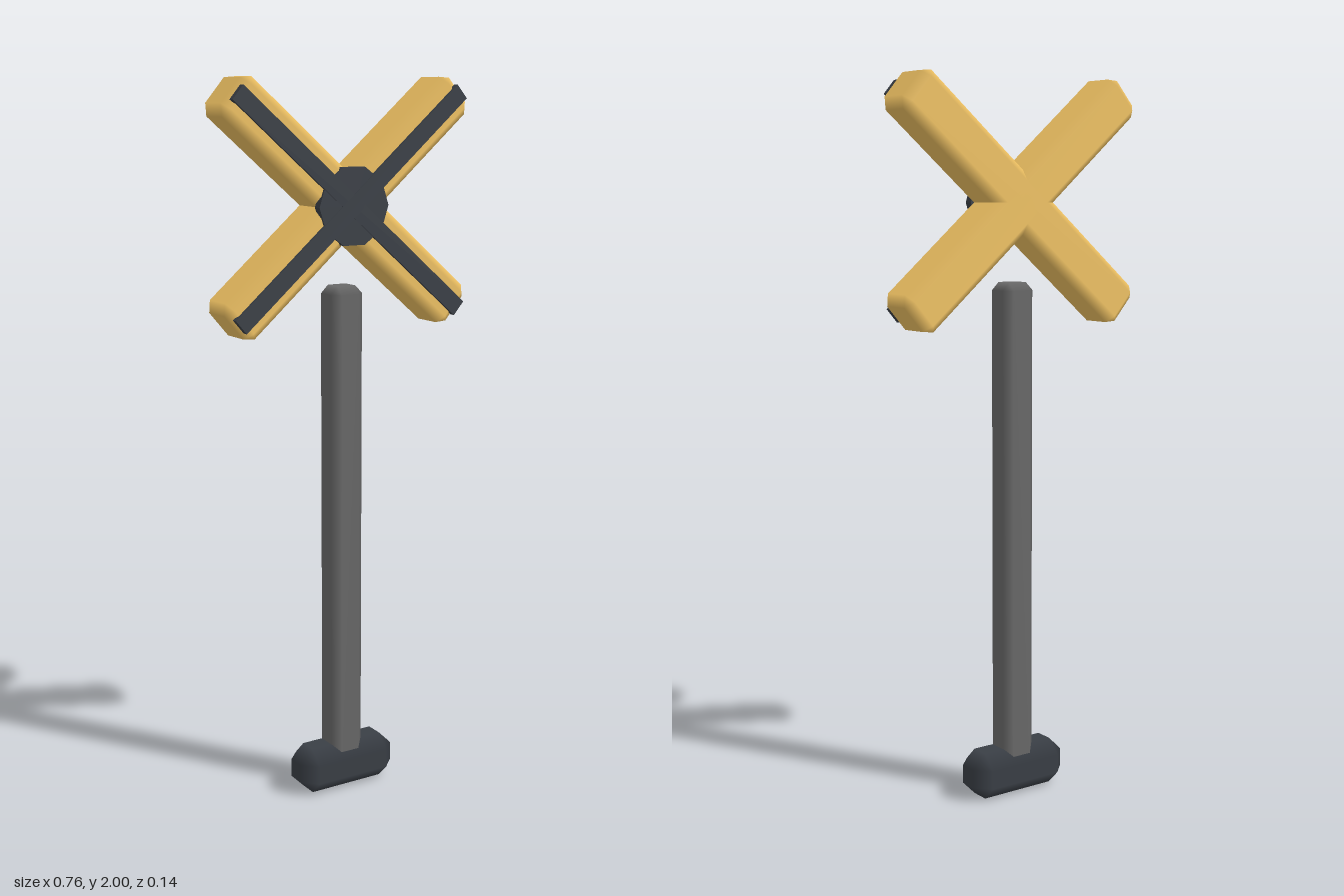
import * as THREE from 'three';
import { ConvexGeometry } from 'three/addons/geometries/ConvexGeometry.js';

// Box with one-step bevels of size r; faces stay flat, bevels shade smoothly.
function bevelBox(w, h, d, r) {
  const half = [w / 2, h / 2, d / 2];
  const points = [];
  for (const sx of [-1, 1]) for (const sy of [-1, 1]) for (const sz of [-1, 1]) {
    for (let axis = 0; axis < 3; axis++) {
      const p = half.map((v, i) => (i === axis ? v : v - r));
      points.push(new THREE.Vector3(p[0] * sx, p[1] * sy, p[2] * sz));
    }
  }
  const geo = new ConvexGeometry(points);
  const pos = geo.attributes.position, nor = geo.attributes.normal;
  for (let i = 0; i < pos.count; i++) {
    const p = [pos.getX(i), pos.getY(i), pos.getZ(i)];
    const n = p.map((v, k) => (Math.abs(Math.abs(v) - half[k]) < 1e-5 ? Math.sign(v) : 0));
    nor.setXYZ(i, n[0], n[1], n[2]);
  }
  return geo;
}

export function createModel() {
  const model = new THREE.Group();
  const yellow = new THREE.MeshStandardMaterial({ color: 0xf2c464 });
  const dark = new THREE.MeshStandardMaterial({ color: 0x3a3f46 });
  const steel = new THREE.MeshStandardMaterial({ color: 0x696969 });

  const add = (name, geo, mat, x, y, z, parent = model) => {
    const mesh = new THREE.Mesh(geo, mat);
    mesh.name = name;
    mesh.position.set(x, y, z);
    parent.add(mesh);
    return mesh;
  };

  // Foot and post
  add('base', bevelBox(0.306, 0.132, 0.132, 0.04), dark, 0, 0.066, 0);
  add('post', bevelBox(0.1, 1.447, 0.094, 0.022), steel, 0, 0.7265, 0);

  // Crossed boards, each with a dark strip on its front
  const cross = new THREE.Group();
  cross.name = 'cross';
  cross.position.y = 1.665;
  model.add(cross);
  const angle = THREE.MathUtils.degToRad(40.6);
  for (const side of [1, -1]) {
    const name = side > 0 ? 'Rising' : 'Falling';
    const board = add('board' + name, bevelBox(0.924, 0.132, 0.132, 0.024), yellow, 0, 0, -0.007, cross);
    const strip = add('strip' + name, new THREE.BoxGeometry(0.91, 0.048, 0.017), dark, 0, 0, 0.0585, cross);
    board.rotation.z = strip.rotation.z = side * angle;
  }

  // Ten-sided hub plate over the crossing
  const hubGeo = new THREE.CylinderGeometry(0.108, 0.108, 0.024, 10);
  hubGeo.rotateY(Math.PI / 10);
  hubGeo.rotateX(Math.PI / 2);
  hubGeo.rotateZ(Math.PI / 10 * (1 - 1));
  const hubMat = dark.clone();
  hubMat.flatShading = true;
  add('hub', hubGeo, hubMat, 0, 0, 0.053, cross);

  return model;
}
